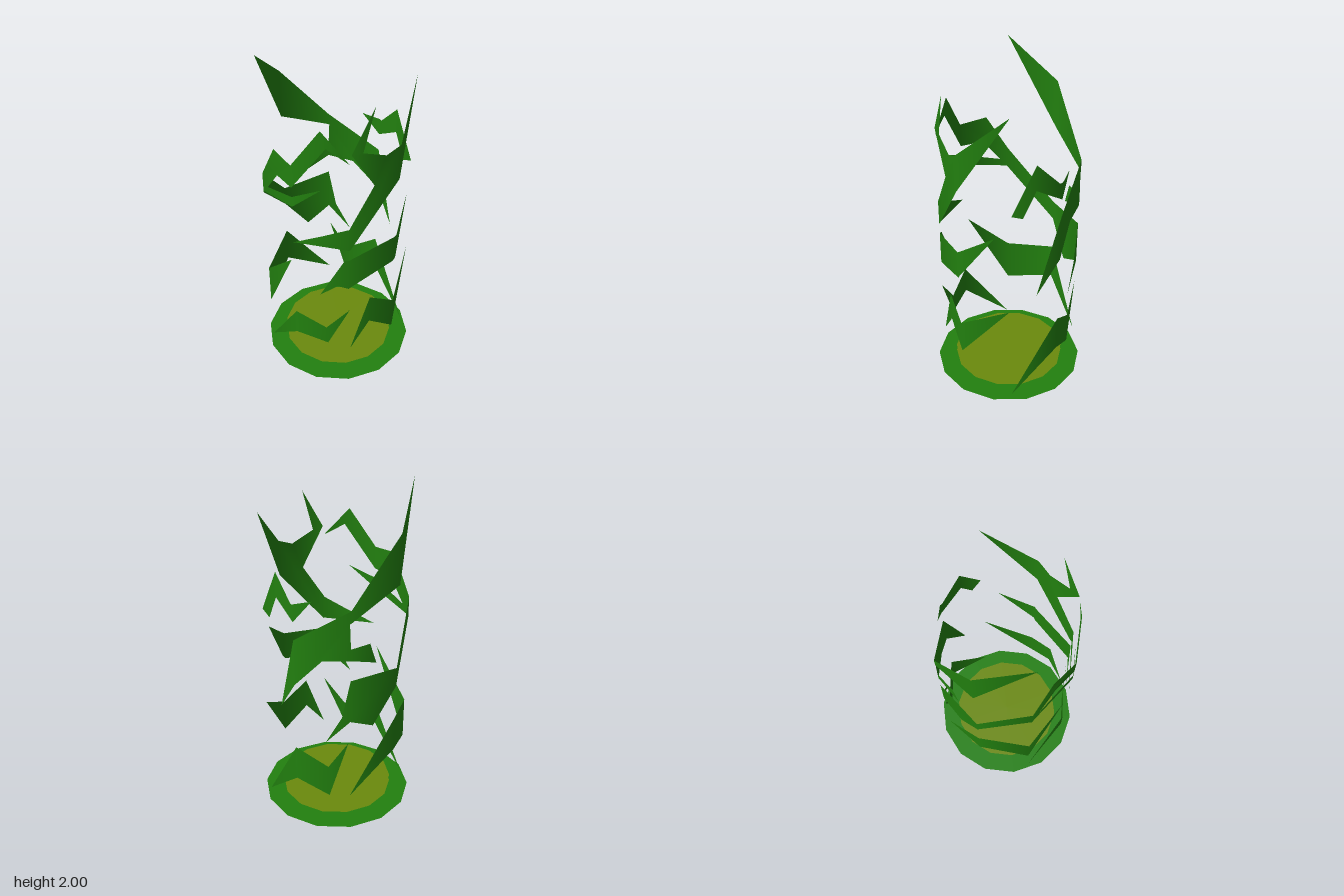
import * as THREE from 'three';

// Eight corners of the ring the flames are wrapped on, starting at the front and turning to +x
const RING = [[0, 0.415], [0.295, 0.287], [0.435, 0], [0.295, -0.287],
  [0, -0.415], [-0.295, -0.287], [-0.435, 0], [-0.295, 0.287]];
const corner = (k) => RING[((k % 8) + 8) % 8];

// Keep the part of an unrolled outline on one side of the line u = limit
function clip(points, limit, sign) {
  const out = [];
  points.forEach((a, i) => {
    const b = points[(i + 1) % points.length];
    const da = (a[0] - limit) * sign, db = (b[0] - limit) * sign;
    if (da >= 0) out.push(a);
    if (da * db < 0) {
      const t = da / (da - db);
      out.push([limit, a[1] + (b[1] - a[1]) * t]);
    }
  });
  return out;
}

// Wrap an outline of [u, height] around the ring, u counting its faces
function wrappedGeometry(outline) {
  const positions = [], normals = [], index = [];
  const us = outline.map((p) => p[0]);
  for (let k = Math.floor(Math.min(...us)); k < Math.max(...us); k++) {
    const piece = clip(clip(outline, k, 1), k + 1, -1);
    if (piece.length < 3) continue;
    const contour = piece.map((p) => new THREE.Vector2(p[0], p[1]));
    const flip = THREE.ShapeUtils.isClockWise(contour);
    if (flip) contour.reverse();
    const start = positions.length / 3;
    const a = corner(k), b = corner(k + 1);
    for (const p of contour) {
      const t = p.x - k;
      const x = a[0] + (b[0] - a[0]) * t, z = a[1] + (b[1] - a[1]) * t;
      const r = Math.hypot(x, z);
      positions.push(x, p.y, z);
      normals.push(x / r, 0, z / r);
    }
    for (const tri of THREE.ShapeUtils.triangulateShape(contour, [])) {
      index.push(...tri.map((i) => i + start));
    }
  }
  const geometry = new THREE.BufferGeometry();
  geometry.setAttribute('position', new THREE.Float32BufferAttribute(positions, 3));
  geometry.setAttribute('normal', new THREE.Float32BufferAttribute(normals, 3));
  geometry.setIndex(index);
  return geometry;
}

const FLAMES = {
  upperFrontFlame: [[2, 1.84], [1, 1.575], [0.71, 1.54], [0.25, 1.6], [0.47, 1.85], [0.03, 1.61],
    [0.49, 1.375], [0, 1.14], [-0.45, 1.07], [-1, 0.99], [0.03, 0.995], [1, 1.36]],
  middleFrontFlame: [[-0.53, 0.63], [-0.07, 0.92], [0.95, 0.965], [1.7, 1.12], [0.95, 0.79],
    [0, 0.715], [-0.2, 0.72]],
  lowerFrontLeftFlame: [[0.05, 0.22], [0.47, 0.575], [1, 0.47], [2, 0.655], [1, 0.26], [0.47, 0.385]],
  lowerFrontRightFlame: [[-1.97, 0.02], [-1, 0.46], [-0.42, 0.37], [0.03, 0.55], [-0.39, 0.245], [-1, 0.29]],
  rightSweepFlame: [[0, 1.555], [-0.49, 1.73], [-1, 1.5], [-1.54, 1.515], [-2, 1.28], [-3, 0.97],
    [-4, 0.985], [-4.15, 0.74], [-4.45, 0.56], [-4, 0.72], [-3.5, 0.64], [-3, 0.85], [-2, 1.15],
    [-1.46, 1.36], [-1, 1.36], [-0.4, 1.63]],
  smallRightFlame: [[-0.49, 1.37], [-1, 1.3], [-2, 1.2], [-2, 1.16], [-1, 1.235]],
  upperBackFlame: [[6, 2], [5, 1.77], [4, 1.405], [3, 1.2], [2.54, 0.715], [3, 0.92], [3.5, 1.09],
    [4, 1.11], [4.54, 1.05], [4.4, 1.18], [4, 1.18], [3.98, 1.33], [5, 1.48]],
  smallLeftFlame: [[2.03, 1.28], [2.5, 1.55], [2.95, 1.41], [3.33, 1.44], [3, 1.31], [2.5, 1.4], [2.25, 1.25]],
  lowerBackRightFlame: [[6.9, 0.84], [6, 0.575], [5, 0.635], [4.42, 0.38], [4, 0.2], [5, 0.41], [6, 0.31]],
  lowerBackLeftFlame: [[2.04, 0.02], [3, 0.5], [3.6, 0.39], [3.97, 0.575], [3.62, 0.185], [3, 0.28]],
};

export function createModel() {
  const group = new THREE.Group();
  group.name = 'flameRing';
  const green = new THREE.MeshStandardMaterial({ name: 'green', color: 0x22800f, side: THREE.DoubleSide });
  const olive = new THREE.MeshStandardMaterial({ name: 'olive', color: 0x6b8a0d, side: THREE.DoubleSide });

  const add = (name, geometry, material) => {
    const mesh = new THREE.Mesh(geometry, material);
    mesh.name = name;
    group.add(mesh);
    return mesh;
  };

  // Flat ground discs with fourteen sides
  const disc = (name, radius, y, material) => {
    const geometry = new THREE.CircleGeometry(radius, 14, Math.PI / 2);
    geometry.rotateX(-Math.PI / 2);
    add(name, geometry, material).position.y = y;
  };
  disc('baseDisc', 0.459, 0, green);
  disc('lowerInnerDisc', 0.343, 0.02, olive);
  disc('upperInnerDisc', 0.343, 0.06, olive);

  // Jagged flames wrapped around the ring
  for (const [name, outline] of Object.entries(FLAMES)) {
    add(name, wrappedGeometry(outline), green);
  }
  return group;
}
